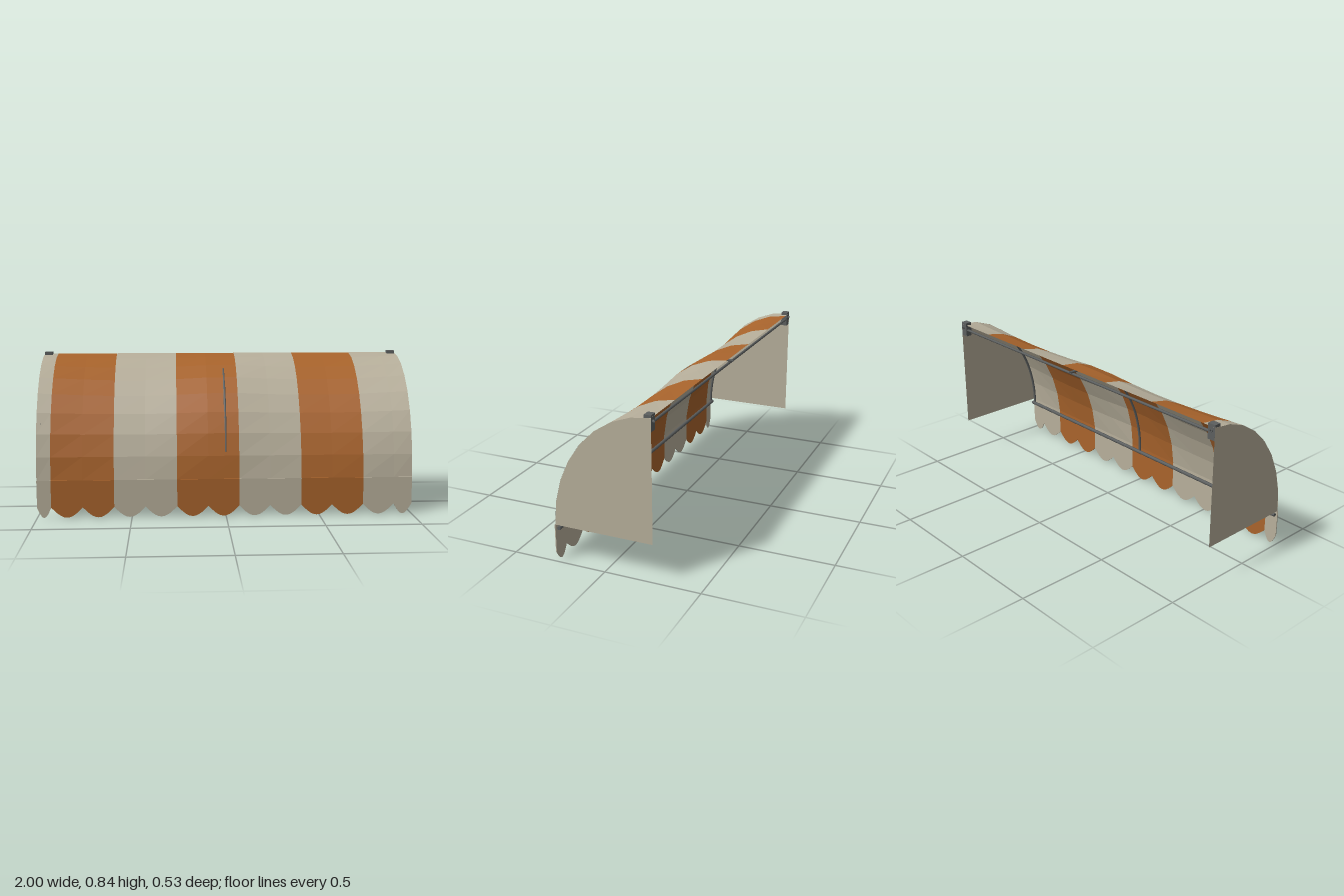
import * as THREE from 'three';

const ZB = -0.257, YB = 0.2, RZ = 0.519, RY = 0.628; // quarter-ellipse profile
const STEPS = 8;

export function createModel() {
  const group = new THREE.Group();
  const mat = (name, color, opts = {}) => {
    const m = new THREE.MeshStandardMaterial({ color, side: THREE.DoubleSide, ...opts });
    m.name = name;
    return m;
  };
  const cream = mat('creamCanvas', 0xb7af9b, { flatShading: true });
  const orange = mat('orangeCanvas', 0xa9642c, { flatShading: true });
  const metal = mat('darkMetal', 0x5c5f5f);

  const add = (name, geometry, material, x = 0, y = 0, z = 0) => {
    const mesh = new THREE.Mesh(geometry, material);
    mesh.name = name;
    mesh.position.set(x, y, z);
    group.add(mesh);
    return mesh;
  };

  // point on the profile: t = 0 at the front edge, 1 at the wall; inset shrinks it
  const arc = (t, inset = 0) => {
    const a = t * Math.PI / 2;
    return { z: ZB + (RZ - inset) * Math.cos(a), y: YB + (RY - inset) * Math.sin(a) };
  };

  // the cloth sags between the three ribs
  const sag = (x, t) => 0.027 * Math.abs(Math.sin(Math.PI * x)) * Math.sin(Math.PI * t);

  // curved canopy strip through a list of x positions
  const canopyStrip = (xs) => {
    const cols = xs.length - 1;
    const g = new THREE.PlaneGeometry(cols, 1, cols, STEPS);
    const p = g.attributes.position;
    for (let i = 0; i < p.count; i++) {
      const x = xs[Math.round(p.getX(i) + cols / 2)];
      const t = p.getY(i) + 0.5;
      const q = arc(t, sag(x, t));
      p.setXYZ(i, x, q.y, q.z);
    }
    g.computeVertexNormals();
    return g;
  };

  // hanging valance piece with one scallop between each pair of x positions
  const valance = (xs) => {
    const s = new THREE.Shape();
    s.moveTo(xs[xs.length - 1], YB);
    s.lineTo(xs[0], YB);
    for (let i = 1; i < xs.length; i++) {
      for (let k = 0; k <= 10; k++) {
        const t = k / 10;
        s.lineTo(xs[i - 1] + (xs[i] - xs[i - 1]) * t, 0.055 * (1 - Math.sin(Math.PI * t)));
      }
    }
    s.closePath();
    return new THREE.ExtrudeGeometry(s, { depth: 0.005, bevelEnabled: false });
  };

  // striped canopy and valance
  const edges = [-1, -0.926, -0.594, -0.26, 0.071, 0.404, 0.737, 1];
  for (let i = 0; i < edges.length - 1; i++) {
    const x0 = edges[i], x1 = edges[i + 1];
    const m = i % 2 ? orange : cream;
    const xs = x1 - x0 > 0.17 ? [x0, x0 + 0.166, x1] : [x0, x1];
    add('canopyStripe' + i, canopyStrip(xs), m);
    add('valanceStripe' + i, valance(xs), m, 0, 0, 0.262);
  }

  // side panels, drawn in z-y and turned to face sideways
  const side = new THREE.Shape();
  side.moveTo(-ZB, YB);
  for (let i = 0; i <= STEPS; i++) {
    const q = arc(i / STEPS);
    side.lineTo(-q.z, q.y);
  }
  side.closePath();
  for (const s of [-1, 1]) {
    const name = s > 0 ? 'left' : 'right';
    const g = new THREE.ShapeGeometry(side);
    g.rotateY(Math.PI / 2);
    add(name + 'SidePanel', g, cream, s * 0.999);
    // wall bracket
    add(name + 'WallBracket', new THREE.BoxGeometry(0.043, 0.08, 0.035), metal, s * 0.977, 0.8, -0.239);
  }

  // curved ribs under the canvas, from the front rail to just past the wall edge
  for (const x of [-0.98, 0, 0.98]) {
    const pts = [];
    for (let i = 0; i <= 16; i++) {
      const t = i / 16;
      const q = arc(t, 0.009 + 0.011 * t ** 3);
      pts.push(new THREE.Vector3(x, q.y - 0.012 * (1 - t) ** 4, q.z));
    }
    pts.push(new THREE.Vector3(x, pts[16].y, -0.264));
    add('rib', new THREE.TubeGeometry(new THREE.CatmullRomCurve3(pts), 32, 0.007, 6), metal);
  }

  // front and rear rails
  const rail = (name, r, y, z) =>
    add(name, new THREE.CylinderGeometry(r, r, 1.99, 6), metal, 0, y, z).rotation.z = Math.PI / 2;
  rail('frontRail', 0.01, 0.181, 0.247);
  rail('rearRail', 0.007, 0.795, -0.245);

  return group;
}
